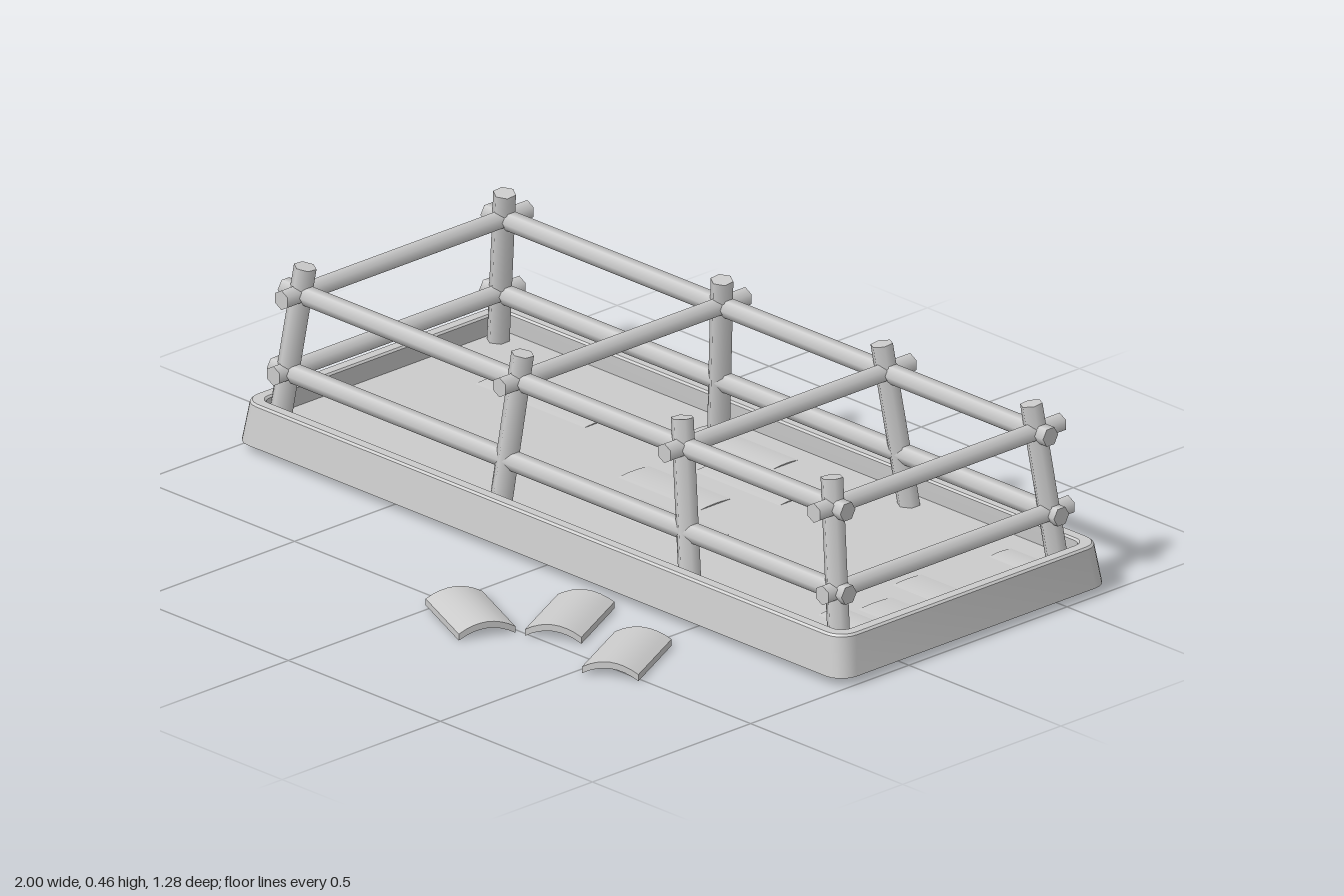
import * as THREE from 'three';
import { toCreasedNormals } from 'three/addons/utils/BufferGeometryUtils.js';

const grey = new THREE.MeshStandardMaterial({ color: 0xcccccc });
const BASE_Z = -0.2125;
const FLOOR_Y = 0.068;

function addMesh(parent, name, geometry) {
  const mesh = new THREE.Mesh(geometry, grey);
  mesh.name = name;
  parent.add(mesh);
  return mesh;
}

// Outline of a rounded rectangle as [x, z] points
function roundedOutline(hx, hz, r, steps = 5) {
  const points = [];
  [[1, 1], [-1, 1], [-1, -1], [1, -1]].forEach(([sx, sz], corner) => {
    for (let i = 0; i <= steps; i++) {
      const a = (corner + i / steps) * Math.PI / 2;
      points.push([sx * (hx - r) + Math.cos(a) * r, sz * (hz - r) + Math.sin(a) * r]);
    }
  });
  return points;
}

// Closed frame: each ring is [inset, height, corner radius]
function frameGeometry(rings) {
  const positions = [], index = [];
  let n = 0;
  for (const [inset, y, r] of rings) {
    const outline = roundedOutline(1 - inset, 0.4275 - inset, r);
    n = outline.length;
    for (const [x, z] of outline) positions.push(x, y, z);
  }
  for (let k = 0; k < rings.length; k++) {
    const next = (k + 1) % rings.length;
    for (let i = 0; i < n; i++) {
      const j = (i + 1) % n;
      const a = k * n + i, b = k * n + j, c = next * n + j, d = next * n + i;
      index.push(a, d, c, a, c, b);
    }
  }
  const geometry = new THREE.BufferGeometry();
  geometry.setAttribute('position', new THREE.Float32BufferAttribute(positions, 3));
  geometry.setIndex(index);
  return toCreasedNormals(geometry, 0.5);
}

// Hexagonal pole between two points
function addPole(parent, name, from, to, radius = 0.024) {
  const a = new THREE.Vector3(...from), b = new THREE.Vector3(...to);
  const pole = addMesh(parent, name, new THREE.CylinderGeometry(radius, radius, a.distanceTo(b), 6));
  pole.position.copy(a).add(b).multiplyScalar(0.5);
  pole.quaternion.setFromUnitVectors(new THREE.Vector3(0, 1, 0), b.sub(a).normalize());
}

// Slab gently arched across its width
function tileGeometry(length, width, thickness, rise) {
  const geometry = new THREE.BoxGeometry(length, thickness, width, 1, 1, 8);
  const p = geometry.attributes.position;
  for (let i = 0; i < p.count; i++) {
    const t = 2 * p.getZ(i) / width;
    p.setY(i, p.getY(i) + thickness / 2 + rise * (1 - t * t));
  }
  return toCreasedNormals(geometry, 0.6);
}

export function createModel() {
  const model = new THREE.Group();
  model.name = 'fencedPlatform';

  // Tapered rim and the thin floor inside it
  const base = new THREE.Group();
  base.name = 'base';
  base.position.z = BASE_Z;
  model.add(base);
  addMesh(base, 'rim', frameGeometry([
    [0, 0.02, 0.05], [0.013, 0.115, 0.05], [0.018, 0.12, 0.046],
    [0.042, 0.12, 0.03], [0.046, 0.115, 0.028], [0.04, 0.02, 0.03],
  ]));
  const floor = addMesh(base, 'floor', new THREE.BoxGeometry(1.92, 0.012, 0.775));
  floor.position.y = FLOOR_Y - 0.006;

  // Tiles set into the floor: x, z, length, width
  const inlay = new THREE.Group();
  inlay.name = 'floorTiles';
  model.add(inlay);
  [
    [-0.59, -0.38, 0.36, 0.14], [0.09, -0.38, 0.28, 0.14],
    [-0.01, -0.23, 0.27, 0.14], [0.13, -0.078, 0.29, 0.155],
    [-0.08, -0.51, 0.29, 0.11], [0.84, -0.235, 0.18, 0.13],
    [0.87, -0.085, 0.14, 0.15], [0.85, 0.02, 0.18, 0.10],
    [0.86, -0.5, 0.16, 0.10],
  ].forEach(([x, z, length, width]) => {
    addMesh(inlay, 'floorTile', tileGeometry(length, width, 0.018, 0.006))
      .position.set(x, FLOOR_Y - 0.021, z);
  });

  // Loose tiles on the ground: x, z, turn
  const loose = new THREE.Group();
  loose.name = 'looseTiles';
  model.add(loose);
  [[0.11, 0.53, -0.42], [0.28, 0.38, -1.11], [0.53, 0.44, -1.11]].forEach(([x, z, turn]) => {
    const tile = addMesh(loose, 'looseTile', tileGeometry(0.223, 0.137, 0.016, 0.021));
    tile.position.set(x, 0, z);
    tile.rotation.y = turn;
  });

  // Leaning posts, joined by rails that pass through them
  const fence = new THREE.Group();
  fence.name = 'fence';
  model.add(fence);
  const bottomX = [-0.925, -0.2, 0.43, 0.92], topX = [-0.87, -0.155, 0.37, 0.862];
  const bottomY = 0.05, topY = 0.455, upperY = 0.388, lowerY = 0.193;
  const lerp = (a, b, y) => a + (b - a) * (y - bottomY) / (topY - bottomY);
  const postX = (i, y) => lerp(bottomX[i], topX[i], y);
  const postZ = (side, y) => BASE_Z + 0.008 + side * lerp(0.347, 0.315, y);

  for (const side of [1, -1]) {
    for (let i = 0; i < 4; i++) {
      addPole(fence, 'post',
        [bottomX[i], bottomY, postZ(side, bottomY)], [topX[i], topY, postZ(side, topY)], 0.027);
    }
    for (const [y, x0, x1] of [[upperY, -0.93, 0.92], [lowerY, -0.95, 0.94]]) {
      addPole(fence, 'longRail', [x0, y, postZ(side, y)], [x1, y, postZ(side, y)]);
    }
  }
  for (let i = 0; i < 4; i++) {
    const heights = i === 0 || i === 3 ? [upperY, lowerY] : [upperY];
    for (const y of heights) {
      addPole(fence, 'crossRail', [postX(i, y), y, 0.177], [postX(i, y), y, -0.6]);
    }
  }
  return model;
}
